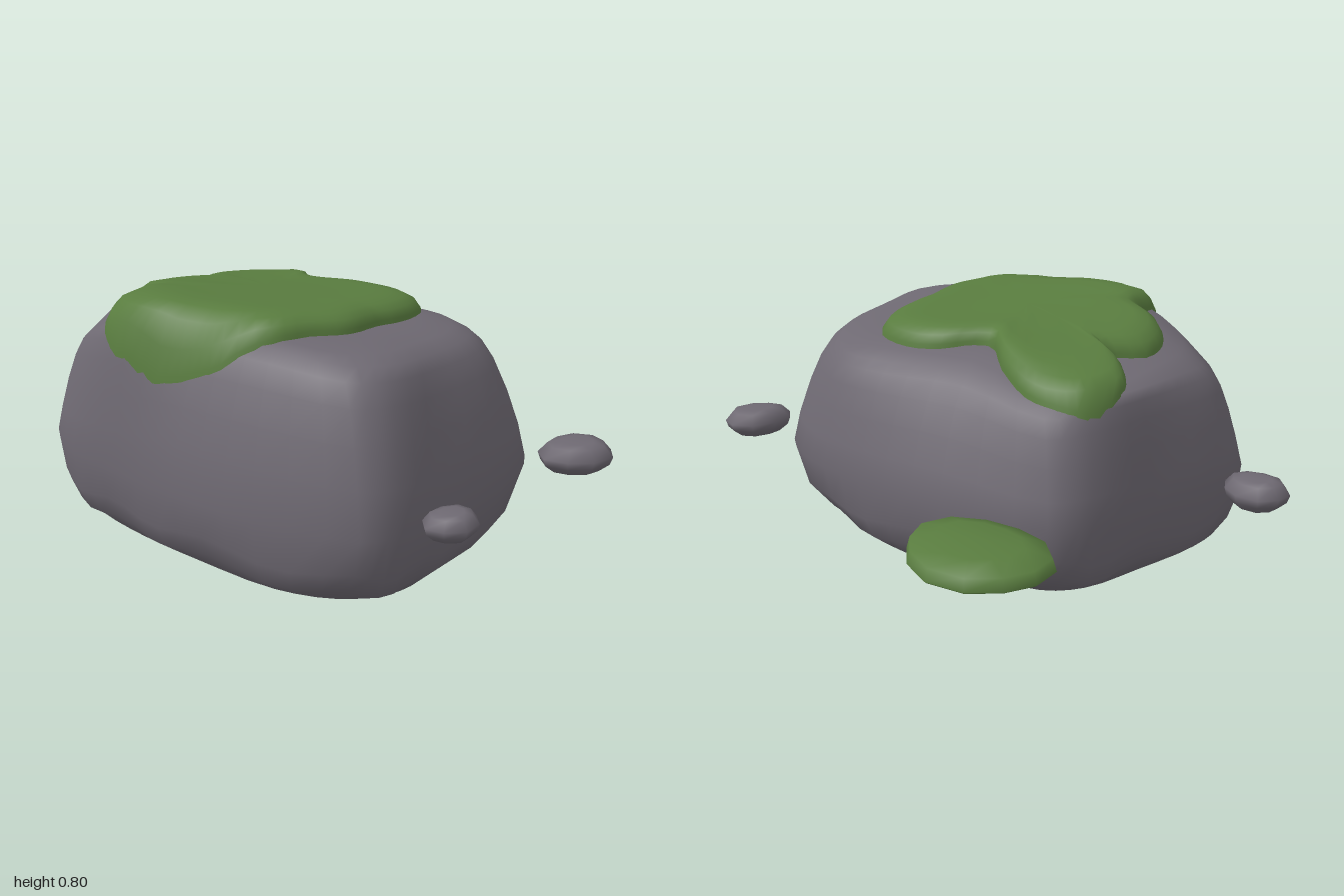
import * as THREE from 'three';
import { mergeVertices } from 'three/addons/utils/BufferGeometryUtils.js';

const lerp = THREE.MathUtils.lerp;

// Skin over closed rings of points, listed from the underside to the top
function loft(rings) {
  const n = rings[0].length, pos = [], idx = [];
  rings.forEach(ring => ring.forEach(p => pos.push(p.x, p.y, p.z)));
  for (let r = 0; r < rings.length - 1; r++) {
    for (let i = 0; i < n; i++) {
      const j = (i + 1) % n;
      const a = r * n + i, b = r * n + j, c = a + n, d = b + n;
      idx.push(a, c, b, b, c, d);
    }
  }
  let g = new THREE.BufferGeometry();
  g.setAttribute('position', new THREE.Float32BufferAttribute(pos, 3));
  g.setIndex(idx);
  g = mergeVertices(g, 1e-4);
  g.computeVertexNormals();
  return g;
}

// Evenly sampled smooth closed curve
function closedCurve(points, n) {
  const curve = new THREE.CatmullRomCurve3(points, true);
  return Array.from({ length: n }, (_, i) => curve.getPoint(i / n));
}

// Boulder columns: foot x, z, then widest x, z, then rim x, z, y
const COLUMNS = [
  [0.74, 0.2, 0.84, 0.2, 0.67, 0.11, 0.68], [0.74, 0.34, 0.85, 0.4, 0.71, 0.33, 0.7],
  [0.66, 0.47, 0.8, 0.51, 0.64, 0.44, 0.705], [0.5, 0.57, 0.5, 0.655, 0.43, 0.51, 0.72],
  [0.2, 0.64, 0.2, 0.73, 0.2, 0.57, 0.72], [-0.05, 0.68, -0.05, 0.765, -0.04, 0.69, 0.71],
  [-0.28, 0.69, -0.3, 0.785, -0.24, 0.69, 0.67], [-0.49, 0.65, -0.52, 0.72, -0.44, 0.61, 0.605],
  [-0.62, 0.53, -0.68, 0.57, -0.56, 0.47, 0.605], [-0.65, 0.35, -0.73, 0.36, -0.6, 0.28, 0.62],
  [-0.62, 0.07, -0.69, 0.05, -0.62, 0.03, 0.63], [-0.58, -0.15, -0.65, -0.2, -0.58, -0.16, 0.62],
  [-0.49, -0.26, -0.57, -0.32, -0.47, -0.24, 0.6], [-0.17, -0.35, -0.2, -0.425, -0.15, -0.24, 0.64],
  [0.1, -0.38, 0.15, -0.465, 0.15, -0.31, 0.63], [0.27, -0.33, 0.42, -0.46, 0.36, -0.33, 0.63],
  [0.45, -0.2, 0.64, -0.37, 0.49, -0.25, 0.65], [0.62, -0.05, 0.77, -0.2, 0.6, -0.11, 0.665],
];

function boulderGeometry() {
  const n = 54, cx = 0.06, cz = 0.15;
  const foot = closedCurve(COLUMNS.map(c => new THREE.Vector3(c[0], 0, c[1])), n);
  const wide = closedCurve(COLUMNS.map(c => new THREE.Vector3(c[2], 0, c[3])), n);
  const rim = closedCurve(COLUMNS.map(c => new THREE.Vector3(c[4], c[6], c[5])), n);
  // flat underside
  const rings = [0, 0.5, 0.92].map(s => foot.map(p =>
    new THREE.Vector3(lerp(cx, p.x, s), 0, lerp(cz, p.z, s))));
  // flaring foot: height, blend from foot to widest outline
  for (const [y, b] of [[0, 0], [0.05, 0.52], [0.12, 0.83], [0.25, 1]]) {
    rings.push(wide.map((p, i) => {
      const wobble = y > 0 && y < 0.2 ? 0.015 * Math.sin(i * 1.3) : 0;
      return new THREE.Vector3(lerp(foot[i].x, p.x, b), y + wobble, lerp(foot[i].z, p.z, b));
    }));
  }
  // sides: share of rim height, blend from widest outline to rim
  for (const [h, b] of [[0.55, 0.14], [0.72, 0.35], [0.86, 0.57], [0.95, 0.78], [1, 1]]) {
    rings.push(wide.map((p, i) => new THREE.Vector3(
      lerp(p.x, rim[i].x, b), rim[i].y * h, lerp(p.z, rim[i].z, b))));
  }
  // top sloping down to the back and the right-hand side: scale, blend from rim to plateau
  for (const [s, b] of [[0.9, 0.65], [0.72, 1], [0.45, 1], [0.2, 1], [0, 1]]) {
    rings.push(rim.map(p => {
      const x = lerp(cx, p.x, s), z = lerp(cz, p.z, s);
      const plateau = 0.702 + 0.08 * z - 0.16 * Math.max(0, -0.15 - x);
      return new THREE.Vector3(x, lerp(p.y, plateau, b), z);
    }));
  }
  return loft(rings);
}

// Outline of the moss as seen from above: x, z
const MOSS = [
  [-0.6, -0.18], [-0.52, -0.23], [-0.4, -0.24], [-0.25, -0.19], [-0.1, -0.1],
  [0.03, -0.2], [0.15, -0.24], [0.3, -0.22], [0.38, -0.12], [0.42, 0], [0.43, 0.1],
  [0.47, 0.25], [0.44, 0.38], [0.41, 0.5], [0.3, 0.605], [0.2, 0.65], [0.09, 0.695],
  [-0.02, 0.72], [-0.12, 0.728], [-0.2, 0.695], [-0.23, 0.6], [-0.25, 0.52],
  [-0.38, 0.47], [-0.46, 0.38], [-0.49, 0.25], [-0.43, 0.12], [-0.55, 0.06], [-0.62, -0.05],
];

// Moss layer draped on the boulder by dropping each point onto it
function mossGeometry(boulder) {
  const ray = new THREE.Raycaster(), down = new THREE.Vector3(0, -1, 0);
  const outline = closedCurve(MOSS.map(([x, z]) => new THREE.Vector3(x, 0, z)), 84);
  const layers = [[1, -0.03], [0.99, 0.015], [0.95, 0.04], [0.88, 0.055], [0.78, 0.06],
    [0.65, 0.058], [0.5, 0.055], [0.35, 0.055], [0.18, 0.055], [0, 0.055]];
  return loft(layers.map(([s, lift]) => outline.map(p => {
    const x = p.x * s, z = lerp(0.2, p.z, s);
    ray.set(new THREE.Vector3(x, 2, z), down);
    const hit = ray.intersectObject(boulder)[0];
    return new THREE.Vector3(x, (hit ? hit.point.y : 0.58) + lift, z);
  })));
}

// Small rounded lump from a profile of [radius, height] pairs
function lump(profile, sides, rx, ry, rz, seed) {
  return loft(profile.map(([r, y]) => Array.from({ length: sides }, (_, i) => {
    const a = i / sides * Math.PI * 2;
    const k = r * (1 + 0.05 * Math.sin(a * 3 + seed));
    return new THREE.Vector3(Math.cos(a) * k * rx, y * ry, Math.sin(a) * k * rz);
  })));
}

export function createModel() {
  const group = new THREE.Group();
  const stone = new THREE.MeshStandardMaterial({ color: 0x6e6972 });
  stone.name = 'grey stone';
  const green = new THREE.MeshStandardMaterial({ color: 0x597c3f, side: THREE.DoubleSide });
  green.name = 'moss green';

  const add = (name, geometry, material, x = 0, y = 0, z = 0, turn = 0) => {
    const mesh = new THREE.Mesh(geometry, material);
    mesh.name = name;
    mesh.position.set(x, y, z);
    mesh.rotation.y = turn;
    group.add(mesh);
    return mesh;
  };

  const boulder = add('boulder', boulderGeometry(), stone);
  add('mossCap', mossGeometry(boulder), green);

  // Pebbles around the boulder
  const pebble = [[0, -1], [0.65, -0.95], [0.92, -0.4], [1, 0.15], [0.75, 0.85], [0.45, 1], [0, 1]];
  add('rightPebble', lump(pebble, 9, 0.11, 0.048, 0.092, 1), stone, -0.892, 0.284, 0.315);
  add('leftPebble', lump(pebble, 8, 0.07, 0.039, 0.088, 2), stone, 0.93, 0.284, 0.285, -0.2);
  add('backPebble', lump(pebble, 9, 0.1, 0.048, 0.127, 3), stone, 0.843, 0.284, -0.39, -0.35);

  // Loose moss clump behind the boulder, hollow underneath
  const clump = [[0, 0.3], [0.55, 0.2], [0.97, 0], [1, 0.08], [0.95, 0.62], [0.6, 0.92], [0, 1.02]];
  add('mossClump', lump(clump, 12, 0.24, 0.07, 0.193, 0.5), green, -0.54, 0.236, -0.592);

  return group;
}
